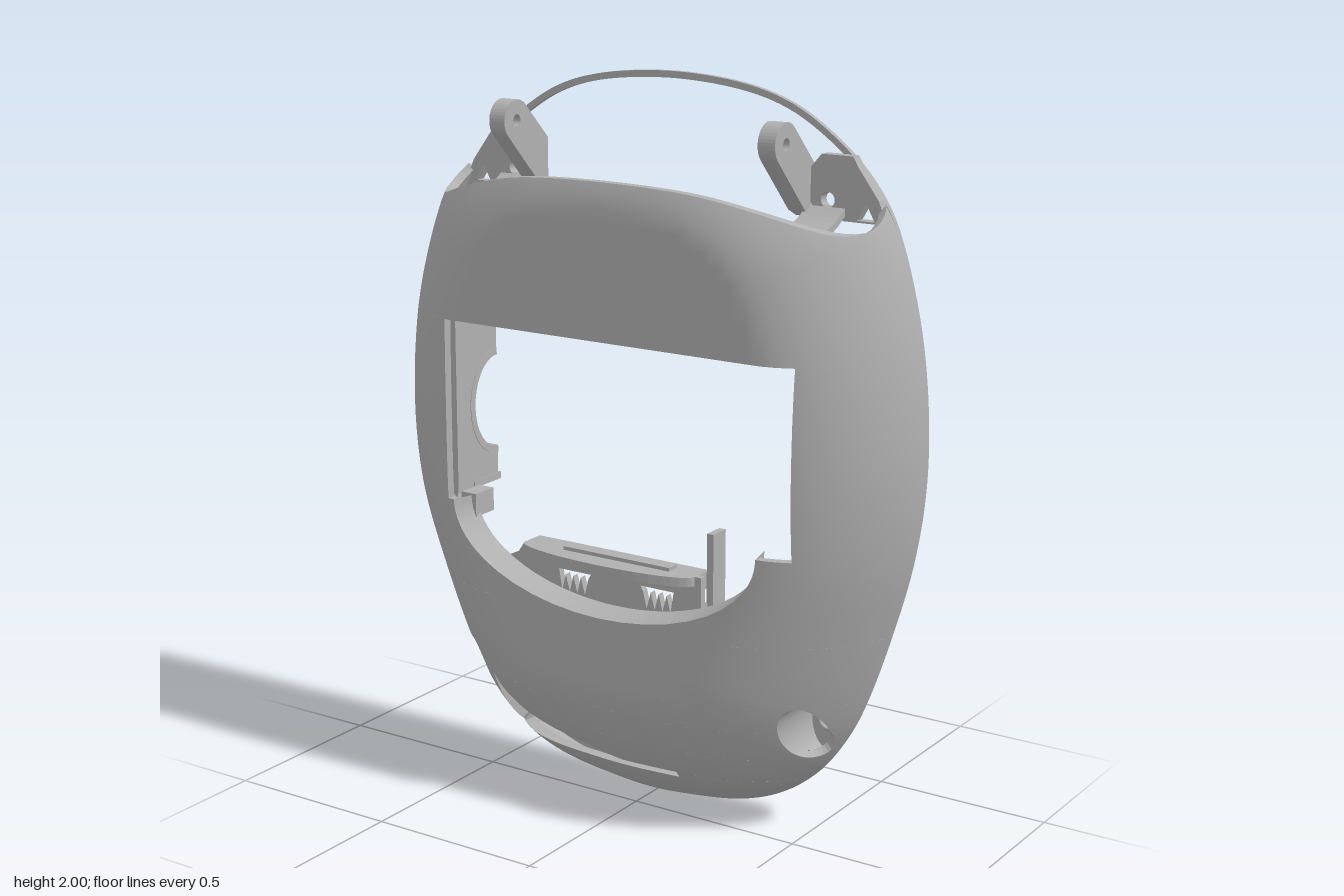
import * as THREE from 'three';
import { mergeGeometries } from 'three/addons/utils/BufferGeometryUtils.js';

const V2 = (x, y) => new THREE.Vector2(x, y);
const BACK = -0.14, DEPTH = 0.32, POW = 1.7, WALL = 0.025;

// Outline of the housing: half widths by height, mirrored to a closed loop
const HALF = [[0.14, 0.01], [0.27, 0.03], [0.36, 0.06], [0.43, 0.1], [0.49, 0.15], [0.535, 0.2], [0.6, 0.3],
  [0.645, 0.4], [0.712, 0.6], [0.765, 0.8], [0.79, 1], [0.787, 1.2], [0.76, 1.4], [0.705, 1.6], [0.66, 1.7],
  [0.58, 1.8], [0.45, 1.9], [0.35, 1.95], [0.22, 1.983]];
const loop = [[0, 0], ...HALF, [0, 2], ...HALF.map(([x, y]) => [-x, y]).reverse()];
const OUTLINE = new THREE.CatmullRomCurve3(loop.map(([x, y]) => new THREE.Vector3(x, y, 0)), true)
  .getPoints(400).slice(0, 400).map(p => V2(p.x, p.y));

function halfWidth(y) {
  for (let i = 0; i < 200; i++) {
    const a = OUTLINE[i], b = OUTLINE[i + 1];
    if (a.y <= y && b.y >= y && b.y > a.y) return a.x + (b.x - a.x) * (y - a.y) / (b.y - a.y);
  }
  return 0;
}

// Distance from the outline and the inward direction
function inset(x, y) {
  let best = 9, nx = 0, ny = 0;
  OUTLINE.forEach((a, i) => {
    const b = OUTLINE[(i + 1) % 400], ex = b.x - a.x, ey = b.y - a.y, l2 = ex * ex + ey * ey;
    const t = Math.min(1, Math.max(0, ((x - a.x) * ex + (y - a.y) * ey) / l2));
    const d = Math.hypot(x - a.x - t * ex, y - a.y - t * ey);
    if (d < best) { best = d; nx = -ey / Math.sqrt(l2); ny = ex / Math.sqrt(l2); }
  });
  return { d: best, nx, ny };
}
// The edge rounding is widest at the chin and tightest beside the window
const rounding = y => 0.46 - 0.17 * THREE.MathUtils.smoothstep(y, 0.1, 0.9) + 0.04 * THREE.MathUtils.smoothstep(y, 1.3, 1.75);
const bulge = (d, y) => BACK + DEPTH * (1 - Math.max(0, 1 - d / rounding(y)) ** POW) ** (1 / POW);
const shellZ = (x, y) => bulge(inset(x, y).d, y);

// Cut edges get walls straight along z, the rest is offset along the normal
function shellPoint(x, y, cut) {
  const { d, nx, ny } = inset(x, y), e = 1e-4, z = bulge(d, y);
  const slope = (bulge(d + e, y) - bulge(Math.max(0, d - e), y)) / (d > e ? 2 * e : d + e);
  const l = Math.hypot(1, slope);
  const n = new THREE.Vector3(-nx * slope / l, -ny * slope / l, 1 / l);
  const outer = new THREE.Vector3(x, y, z), inner = outer.clone();
  if (cut && d > 0.03) inner.z -= Math.min(0.06, WALL / n.z);
  else inner.addScaledVector(n, -WALL);
  return { outer, n, inner };
}

function buffer(points, normals, index) {
  const g = new THREE.BufferGeometry();
  g.setAttribute('position', new THREE.Float32BufferAttribute(points.flatMap(p => p.toArray()), 3));
  if (index) g.setIndex(index);
  if (normals) g.setAttribute('normal', new THREE.Float32BufferAttribute(normals.flatMap(p => p.toArray()), 3));
  else g.computeVertexNormals();
  return index ? g.toNonIndexed() : g;
}

// Thick curved patch: outside, inside and border walls
function patch(at, nu, nv) {
  const pts = [], out = [], inn = [], row = nu + 1, border = [], walls = [];
  for (let j = 0; j <= nv; j++) for (let i = 0; i <= nu; i++)
    pts.push(shellPoint(...at((1 - Math.cos(Math.PI * i / nu)) / 2, j / nv), i % nu === 0 || j % nv === 0));
  for (let j = 0; j < nv; j++) for (let i = 0; i < nu; i++) {
    const a = j * row + i, b = a + 1, c = b + row, d = a + row;
    out.push(a, b, c, a, c, d);
    inn.push(a, c, b, a, d, c);
  }
  for (let i = 0; i < nu; i++) border.push(i);
  for (let j = 0; j < nv; j++) border.push(j * row + nu);
  for (let i = nu; i > 0; i--) border.push(nv * row + i);
  for (let j = nv; j > 0; j--) border.push(j * row);
  border.forEach((k, i) => {
    const p = pts[k], q = pts[border[(i + 1) % border.length]];
    walls.push(p.outer, p.inner, q.inner, p.outer, q.inner, q.outer);
  });
  return [buffer(pts.map(p => p.outer), pts.map(p => p.n), out),
    buffer(pts.map(p => p.inner), pts.map(p => p.n.clone().negate()), inn), buffer(walls)];
}

function shellGeometry() {
  const oval = y => 0.05 * Math.sqrt(Math.max(0, 1 - ((y - 0.32) / 0.085) ** 2));
  const lug = s => [y => s * 0.53 - oval(y), y => s * 0.53 + oval(y)];
  const curve = y => -0.43 + 0.43 * (1 - (y - 0.15) / 0.18) ** 2;
  const vent = [() => -0.43, () => 0.17], slot = [() => -0.43, curve];
  const bowl = y => 0.48 * Math.sqrt(Math.max(0, 1 - ((0.84 - y) / 0.25) ** 2));
  // Height bands with their openings from right to left
  const bands = [[0.001, 0.13, []], [0.13, 0.15, [vent]], [0.15, 0.235, [slot]],
    [0.235, 0.33, [lug(-1), slot, lug(1)]], [0.33, 0.405, [lug(-1), lug(1)]], [0.405, 0.59, []],
    [0.59, 0.84, [[y => -bowl(y), bowl]]], [0.84, 1.34, [[() => -0.5, () => 0.57]]]];
  const parts = [];
  for (const [y0, y1, holes] of bands) {
    const edges = [y => -halfWidth(y), ...holes.flat(), halfWidth];
    for (let k = 0; k < edges.length; k += 2) parts.push(...patch((u, v) => {
      const f = y0 < 0.1 ? v * v : (1 - Math.cos(Math.PI * v)) / 2, y = y0 + (y1 - y0) * f;
      const a = edges[k](y), b = edges[k + 1](y);
      return [a + (b - a) * u, y];
    }, holes.length ? 24 : 60, 14));
  }
  // Brow above the window, ending in a scooped edge
  const scoop = s => {
    let y = 1.68;
    for (let i = 0; i < 40; i++) {
      const z = shellZ(s * halfWidth(y), y);
      y += 0.3 * (1.65 + (z > 0 ? 3.8 : 3) * z * z - y);
    }
    return y;
  };
  parts.push(...patch((u, v) => {
    const s = 2 * u - 1, y = 1.34 + (scoop(s) - 1.34) * v;
    return [s * halfWidth(y), y];
  }, 60, 12));
  return mergeGeometries(parts);
}

const circle = (x, y, r) => new THREE.Path().absarc(x, y, r, 0, Math.PI * 2, true);
function extrude(points, depth, holes = []) {
  const s = new THREE.Shape(points.map(p => p.isVector2 ? p : V2(...p)));
  s.holes.push(...holes);
  return new THREE.ExtrudeGeometry(s, { depth, bevelEnabled: false, curveSegments: 20 });
}
const arc = (cx, cy, rx, ry, a0, a1, n = 20) => Array.from({ length: n + 1 }, (_, i) => {
  const a = a0 + (a1 - a0) * i / n;
  return V2(cx + rx * Math.cos(a), cy + ry * Math.sin(a));
});

// Open strip between two rows of points
function strip(rowA, rowB) {
  const idx = [];
  for (let i = 0; i < rowA.length - 1; i++) {
    const a = i, b = i + rowA.length;
    idx.push(a, a + 1, b + 1, a, b + 1, b);
  }
  return buffer([...rowA, ...rowB], null, idx);
}
const at = (p, z) => new THREE.Vector3(p.x, p.y, z);

export function createModel() {
  const group = new THREE.Group();
  const grey = new THREE.MeshStandardMaterial({ color: 0xb0b0b0, side: THREE.DoubleSide });
  grey.name = 'matte grey';
  const add = (name, geo, x = 0, y = 0, z = 0) => {
    const m = new THREE.Mesh(geo, grey);
    m.name = name;
    m.position.set(x, y, z);
    group.add(m);
  };
  const box = (name, x0, x1, y0, y1, z0, z1) =>
    add(name, new THREE.BoxGeometry(x1 - x0, y1 - y0, z1 - z0), (x0 + x1) / 2, (y0 + y1) / 2, (z0 + z1) / 2);
  const flat = (name, pts, top, depth) => add(name, extrude(pts, depth).rotateX(Math.PI / 2), 0, top, 0);
  const side = (name, pts, x, depth, holes) => add(name, extrude(pts, depth, holes).rotateY(-Math.PI / 2), x, 0, 0);

  add('shell', shellGeometry());

  // Back rim: thick along the body, thin hoop across the top
  const ring = k => OUTLINE.map(p => V2(p.x * (1 - k), 1 + (p.y - 1) * (1 - k)));
  add('rimHoop', extrude(OUTLINE.map(p => V2(p.x * 0.978, p.y < 1 ? 1 + (p.y - 1) * 0.978 : p.y)), 0.015,
    [new THREE.Path(ring(0.045).map(p => V2(p.x, p.y > 1 ? p.y + 0.027 : p.y)))]), 0, 0, -0.18);
  const lower = k => {
    const r = ring(k), i = r.findIndex(p => p.y > 1.8), j = r.findLastIndex(p => p.y > 1.8);
    return [...r.slice(j + 1), ...r.slice(0, i)];
  };
  add('rimBand', extrude([...lower(0.022), ...lower(0.045).reverse()], 0.045), 0, 0, -0.18);

  for (const s of [-1, 1]) {
    // Upper corner plates, saddles and hinge arms
    const pts = [[0.66, 1.66], [0.635, 1.72], [0.575, 1.8], [0.56, 1.825], [0.47, 1.825], [0.44, 1.79], [0.44, 1.7], [0.48, 1.66]];
    add('cornerPlate', extrude(pts.map(([x, y]) => [s * x, y]), 0.03,
      [circle(s * 0.49, 1.71, 0.02), new THREE.Path([V2(s * 0.575, 1.665), V2(s * 0.625, 1.665), V2(s * 0.6, 1.71)])]), 0, 0, -0.165);
    const dip = Array.from({ length: 13 }, (_, i) => -0.14 + 0.22 * i / 12).map(z => V2(z, 1.645 + 2.6 * z * z));
    side('saddle', [...dip, ...dip.map(p => V2(p.x, p.y - 0.02)).reverse()], s > 0 ? 0.54 : -0.43, 0.11);
    side('hingeArm', [[-0.15, 1.66], [-0.11, 1.68], ...arc(-0.01, 1.86, 0.055, 0.055, -Math.PI / 4, Math.PI * 0.75), [-0.15, 1.8]],
      s > 0 ? 0.44 : -0.39, 0.05, [circle(-0.01, 1.86, 0.016)]);

    // Lower screw wells: inner pocket, outer sleeve and drilled floor
    const pocket = arc(s * 0.53, 0.32, 0.05, 0.085, 0, Math.PI * 2, 40);
    const sleeve = arc(s * 0.515, 0.32, 0.065, 0.095, 0, Math.PI * 2, 40);
    add('screwWell', strip(pocket.map(p => at(p, -0.13)), pocket.map(p => at(p, shellZ(p.x, p.y)))));
    add('screwWellSleeve', strip(sleeve.map(p => at(p, -0.15)), sleeve.map(p => at(p, Math.max(-0.14, shellZ(p.x, p.y) - 0.02)))));
    add('screwWellFloor', extrude(sleeve.slice(0, 40), 0.02, [circle(s * 0.53, 0.32, 0.022)]), 0, 0, -0.15);
    add('screwWellRing', new THREE.TorusGeometry(0.027, 0.006, 8, 24), s * 0.53, 0.32, -0.128);
  }

  // Cross beam behind the brow, with pockets left open at both lower ends
  const front = [[0.62, -0.01], [0.55, 0.06], [0.46, 0.115], [0.38, 0.14]];
  const beam = z => [[-0.62, z], [0.62, z], ...front, ...front.map(([x, d]) => [-x, d]).reverse()];
  flat('crossBeam', beam(-0.05), 1.58, 0.12);
  flat('crossBeamLower', beam(-0.015), 1.47, 0.115);
  box('beamCentre', -0.36, 0.3, 1.4, 1.47, -0.05, 0);
  box('beamLedge', -0.6, 0.6, 1.555, 1.58, -0.065, -0.05);
  box('beamTab', -0.37, -0.27, 1.355, 1.47, -0.075, 0);
  flat('beamHalfRing', [...arc(0, 0, 0.16, 0.1, Math.PI, 2 * Math.PI),
    ...arc(0, 0, 0.125, 0.07, 2 * Math.PI, Math.PI)], 1.41, 0.055);
  flat('beamHalfDisc', arc(0, 0, 0.13, 0.075, Math.PI, 2 * Math.PI), 1.4, 0.02);
  add('beamBoss', extrude(arc(0.01, 1.545, 0.03, 0.03, 0, 6.2), 0.035, [circle(0.01, 1.545, 0.014)]), 0, 0, -0.085);

  // Window side walls, the right one with a round cut-out
  box('windowWallLeft', 0.572, 0.592, 0.88, 1.36, -0.02, 0.12);
  side('windowWallRight', [[0.13, 0.84], [0.13, 1.36], [-0.05, 1.36], [-0.05, 1.22],
    ...arc(-0.05, 1.07, 0.1, 0.13, Math.PI / 2, -Math.PI / 2), [-0.05, 0.84]], -0.502, 0.025);
  side('roundBracket', [...arc(-0.05, 1.07, 0.12, 0.15, Math.PI / 2, -Math.PI / 2),
    ...arc(-0.05, 1.07, 0.1, 0.13, -Math.PI / 2, Math.PI / 2)], -0.5, 0.1);
  box('sideRib', 0.66, 0.675, 0.85, 1.32, -0.08, 0.02);
  box('sidePlate', -0.62, -0.5, 0.84, 0.86, -0.06, 0.06);

  // Sloped lip under the window
  const rim = arc(0, 0.84, 0.48, 0.25, Math.PI, 2 * Math.PI, 40);
  add('windowLip', strip(rim.map(p => at(p, shellZ(p.x, p.y) - 0.004)),
    arc(0, 0.84, 0.46, 0.237, Math.PI, 2 * Math.PI, 40).map(p => at(p, 0.1))));

  // Compartment panel with toothed vents
  const teeth = s => new THREE.Path([V2(s * 0.08, 0.675), V2(s * 0.185, 0.675),
    ...[0, 1, 2, 3].flatMap(i => [V2(s * (0.175 - i * 0.025), 0.615), V2(s * (0.163 - i * 0.025), 0.662)])]);
  add('compartmentPanel', extrude([[-0.38, 0.36], [-0.3, 0.29], [-0.2, 0.24], [-0.05, 0.215], [0.17, 0.22], [0.27, 0.24],
    [0.27, 0.73], [-0.3, 0.73], [-0.32, 0.7], [-0.38, 0.67]], 0.02, [teeth(-1), teeth(1)]), 0, 0, 0.08);
  flat('compartmentShelf', [[-0.3, 0.03], [0.25, 0.03], ...arc(-0.025, 0.1, 0.275, 0.06, 0, Math.PI)], 0.73, 0.025);
  box('shelfBar', -0.17, 0.17, 0.725, 0.74, 0.06, 0.1);
  const wall = [[-0.02, 0.16], [0.02, 0.17], [0.09, 0.25], [0.09, 0.66], [-0.02, 0.62]];
  side('compartmentWallLeft', wall, 0.265, 0.035);
  side('compartmentWallRight', [[-0.05, 0.3], [0.05, 0.32], [0.09, 0.36], [0.09, 0.66], [-0.05, 0.66]], -0.37, 0.025);
  box('compartmentPost', 0.262, 0.282, 0.62, 0.84, 0, 0.06);
  for (let i = 0; i < 6; i++) box('shelfRib', 0.01 + i * 0.045, 0.022 + i * 0.045, 0.68, 0.72, 0.03, 0.085);
  box('windowTab', -0.5, -0.45, 0.78, 0.845, 0.04, 0.12);

  // Screw bosses around the window
  for (const [x, y, z] of [[0.53, 0.78, 0.03], [-0.555, 0.77, -0.01], [-0.55, 1.4, -0.05]])
    add('screwBoss', extrude(arc(x, y, 0.033, 0.033, 0, 6.2), shellZ(x, y) - 0.02 - z, [circle(x, y, 0.015)]), 0, 0, z);

  return group;
}
